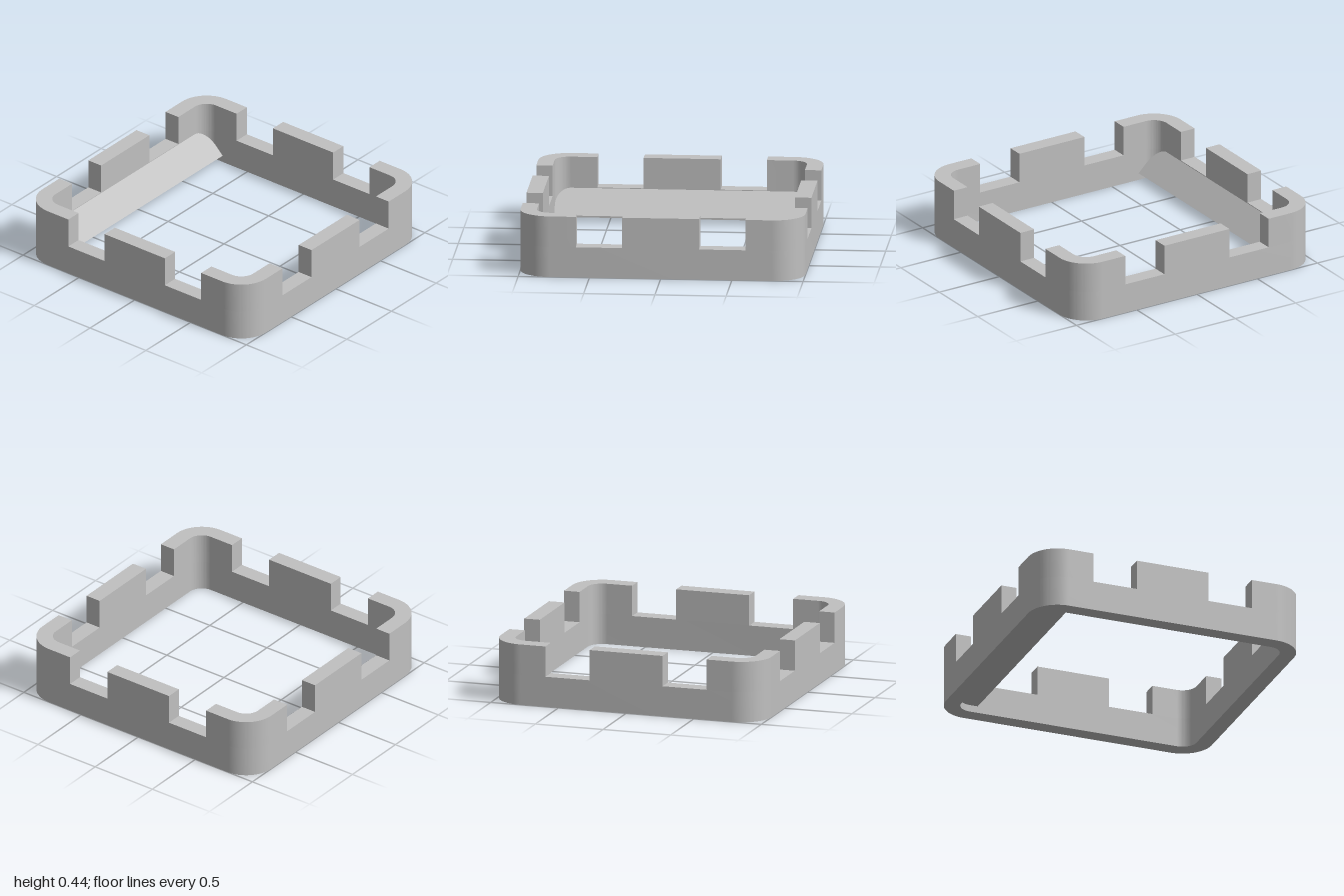
import * as THREE from 'three';
import { toCreasedNormals } from 'three/addons/utils/BufferGeometryUtils.js';

const OUTER = 1, INNER = 0.885;        // half widths of the frame
const R_OUT = 0.22, R_IN = 0.105;      // concentric corner radii
const BASE_H = 0.217, TOP_H = 0.435;   // notch floor and full height
const NOTCH_IN = 0.27, NOTCH_OUT = 0.595;

const grey = new THREE.MeshStandardMaterial({ color: 0xc0c0c0 });
grey.name = 'grey';

// Rounded square outline, traced counter-clockwise
function roundedSquare(path, h, r) {
  const c = h - r;
  path.moveTo(h, -c);
  path.lineTo(h, c);
  path.absarc(c, c, r, 0, Math.PI / 2, false);
  path.lineTo(-c, h);
  path.absarc(-c, c, r, Math.PI / 2, Math.PI, false);
  path.lineTo(-h, -c);
  path.absarc(-c, -c, r, Math.PI, Math.PI * 1.5, false);
  path.lineTo(c, -h);
  path.absarc(c, -c, r, Math.PI * 1.5, Math.PI * 2, false);
  return path;
}

// Extrude a plan shape upwards from y0 to y1
function raise(name, shape, y0, y1) {
  let g = new THREE.ExtrudeGeometry(shape, { depth: y1 - y0, bevelEnabled: false, curveSegments: 16 });
  g.rotateX(-Math.PI / 2);
  g.translate(0, y0, 0);
  g = toCreasedNormals(g, Math.PI / 6);
  const mesh = new THREE.Mesh(g, grey);
  mesh.name = name;
  return mesh;
}

export function createModel() {
  const model = new THREE.Group();
  model.name = 'crenellatedFrame';

  // Continuous lower ring
  const ring = roundedSquare(new THREE.Shape(), OUTER, R_OUT);
  ring.holes.push(roundedSquare(new THREE.Path(), INNER, R_IN));
  model.add(raise('lowerRing', ring, 0, BASE_H));

  // Rounded corner post
  const c = OUTER - R_OUT;
  const corner = new THREE.Shape();
  corner.moveTo(OUTER, NOTCH_OUT);
  corner.lineTo(OUTER, c);
  corner.absarc(c, c, R_OUT, 0, Math.PI / 2, false);
  corner.lineTo(NOTCH_OUT, OUTER);
  corner.lineTo(NOTCH_OUT, INNER);
  corner.lineTo(c, INNER);
  corner.absarc(c, c, R_IN, Math.PI / 2, 0, true);
  corner.lineTo(INNER, NOTCH_OUT);
  corner.closePath();

  // Raised block in the middle of a side
  const block = new THREE.Shape([
    new THREE.Vector2(INNER, -NOTCH_IN), new THREE.Vector2(OUTER, -NOTCH_IN),
    new THREE.Vector2(OUTER, NOTCH_IN), new THREE.Vector2(INNER, NOTCH_IN),
  ]);

  // Repeat both around the four sides
  for (let i = 0; i < 4; i++) {
    const side = new THREE.Group();
    side.name = 'battlement' + (i + 1);
    side.add(raise('cornerPost', corner, BASE_H, TOP_H), raise('middleBlock', block, BASE_H, TOP_H));
    side.rotation.y = i * Math.PI / 2;
    model.add(side);
  }

  // Sloping ledge along the inside of one wall
  const wedge = new THREE.Shape([
    new THREE.Vector2(-INNER, 0.05), new THREE.Vector2(-0.72, 0.05), new THREE.Vector2(-INNER, 0.212),
  ]);
  const ledgeGeo = new THREE.ExtrudeGeometry(wedge, { depth: 2 * INNER, bevelEnabled: false });
  ledgeGeo.translate(0, 0, -INNER);
  const ledge = new THREE.Mesh(ledgeGeo, grey);
  ledge.name = 'slopedLedge';
  model.add(ledge);

  return model;
}
